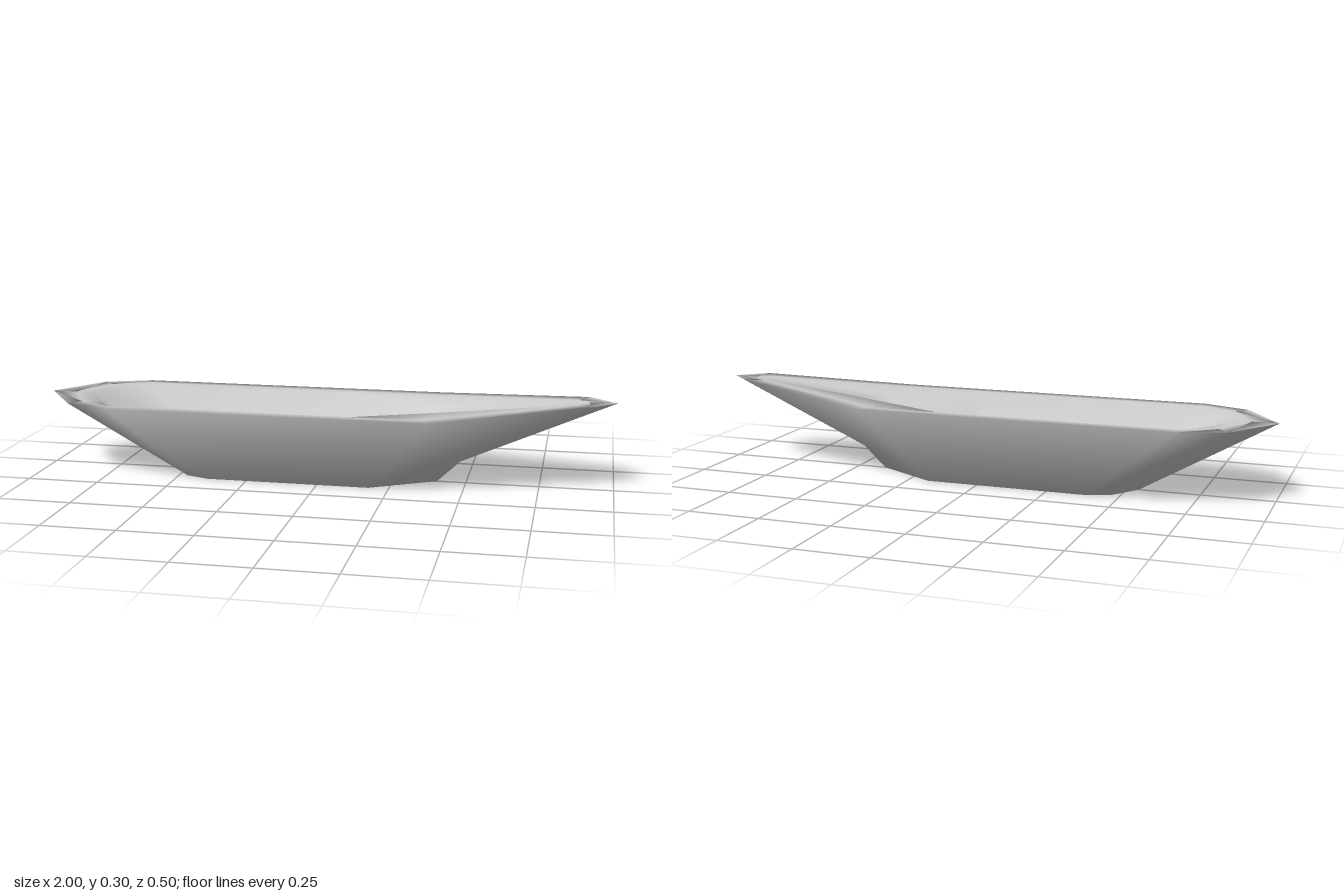
import * as THREE from 'three';
import { mergeVertices } from 'three/addons/utils/BufferGeometryUtils.js';

// Half cross-sections [x, y, z] from stern to bow; the other half is mirrored in z.
const keel = [[-0.54, 0, 0], [-0.47, 0, 0.1], [-0.39, 0, 0.13], [0.18, 0, 0.13], [0.4, 0, 0], [0.4, 0, 0]];
const chine = [[-0.54, 0, 0], [-0.47, 0, 0.1], [-0.39, 0, 0.13], [0.18, 0, 0.13], [0.41, 0.065, 0.04], [0.48, 0.075, 0]];
const gunwale = [[-1, 0.262, 0], [-0.87, 0.262, 0.19], [-0.71, 0.262, 0.25], [0.39, 0.262, 0.25], [0.91, 0.303, 0.083], [1, 0.303, 0]];
const innerRim = [[-0.91, 0.262, 0], [-0.83, 0.262, 0.15], [-0.72, 0.262, 0.205], [0.37, 0.262, 0.205], [0.87, 0.3, 0.04], [0.91, 0.303, 0]];
const pocketEdge = [[-0.843, 0.256, 0], [-0.785, 0.256, 0.105], [-0.72, 0.256, 0.198], [0.08, 0.256, 0.198], [0.4, 0.255, 0.053], [0.515, 0.255, 0]];
const floor = [[-0.47, 0.04, 0], [-0.44, 0.04, 0.07], [-0.4, 0.04, 0.1], [0.1, 0.04, 0.1], [0.22, 0.04, 0.04], [0.28, 0.04, 0]];

// Full loop: +z side from stern to bow, then back along -z
function mirrorLoop(half) {
  const back = half.slice(1, -1).reverse().map(([x, y, z]) => [x, y, -z]);
  return [...half, ...back];
}

function hullGeometry(halves) {
  const loops = halves.map(mirrorLoop);
  const n = loops[0].length;
  const index = [];
  const quad = (a, b, c, d) => index.push(a, b, c, a, c, d);

  // Skin between neighbouring loops
  for (let r = 0; r < loops.length - 1; r++) {
    for (let i = 0; i < n; i++) {
      const j = (i + 1) % n;
      quad(r * n + i, r * n + j, (r + 1) * n + j, (r + 1) * n + i);
    }
  }
  // Flat bottom and inside floor, joined across the centre line
  const last = (loops.length - 1) * n;
  for (let i = 0; i < n / 2; i++) {
    const mi = (n - i) % n, mj = n - i - 1;
    quad(mi, mj, i + 1, i);
    quad(last + i, last + i + 1, last + mj, last + mi);
  }

  const geometry = new THREE.BufferGeometry();
  geometry.setAttribute('position', new THREE.Float32BufferAttribute(loops.flat(2), 3));
  geometry.setIndex(index);
  const merged = mergeVertices(geometry, 1e-4);
  merged.computeVertexNormals();
  return merged;
}

export function createModel() {
  const group = new THREE.Group();
  group.name = 'boat';
  const paleGrey = new THREE.MeshStandardMaterial({ color: 0xcccccc });
  paleGrey.name = 'paleGrey';

  // One continuous smooth shell: outside, rim, end decks and inside
  const hull = new THREE.Mesh(
    hullGeometry([keel, chine, gunwale, innerRim, pocketEdge, floor]), paleGrey);
  hull.name = 'hull';
  group.add(hull);
  return group;
}
